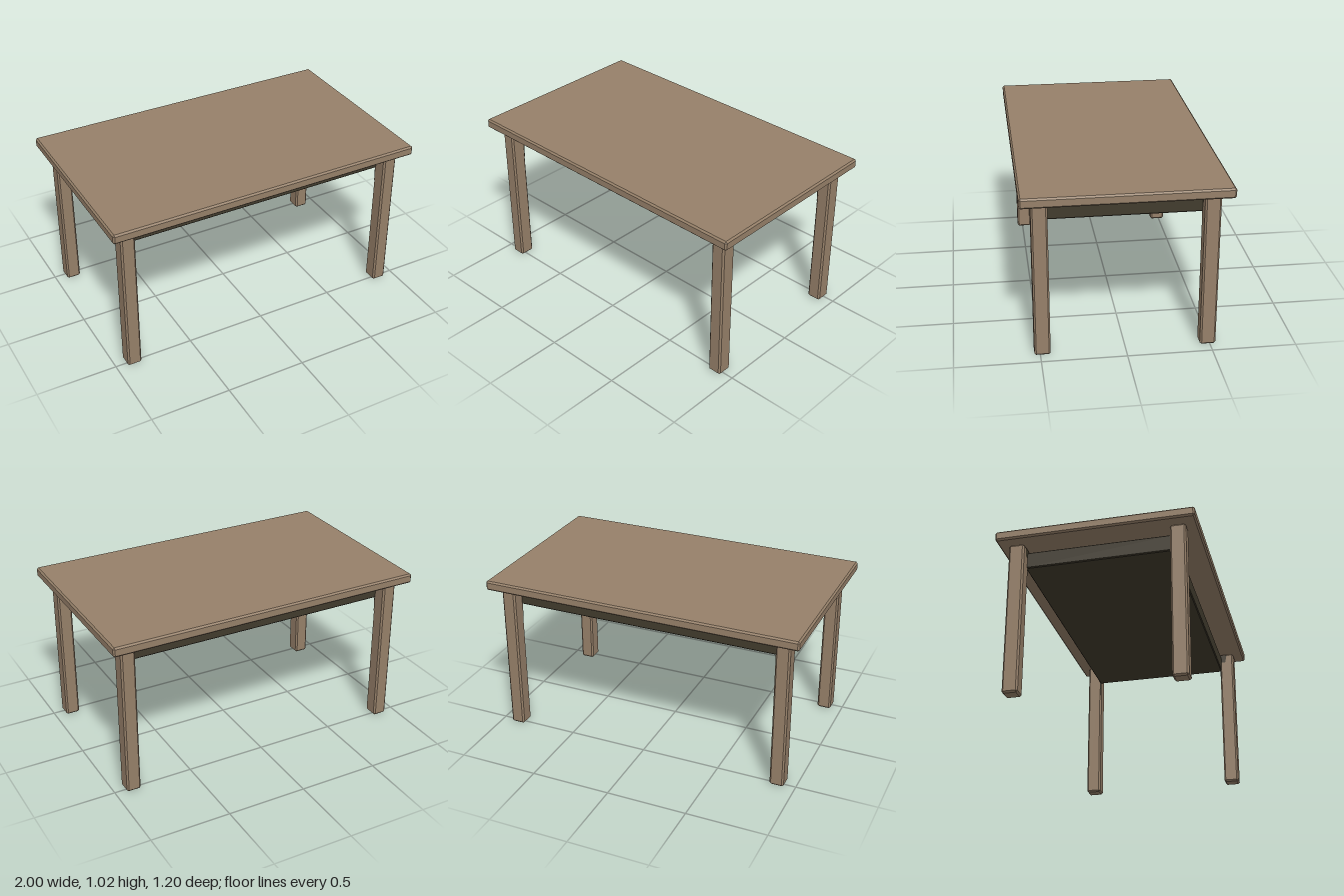
import * as THREE from 'three';
import { ConvexGeometry } from 'three/addons/geometries/ConvexGeometry.js';

// Box with a flat chamfer on every edge, centred on its origin
function chamferBox(w, h, d, c) {
  const points = [];
  for (const sx of [-1, 1]) for (const sy of [-1, 1]) for (const sz of [-1, 1]) {
    const x = sx * w / 2, y = sy * h / 2, z = sz * d / 2;
    points.push(
      new THREE.Vector3(x, y - sy * c, z - sz * c),
      new THREE.Vector3(x - sx * c, y, z - sz * c),
      new THREE.Vector3(x - sx * c, y - sy * c, z));
  }
  return new ConvexGeometry(points);
}

export function createModel() {
  const wood = new THREE.MeshStandardMaterial({ color: 0x968069 });
  wood.name = 'wood';
  const dark = new THREE.MeshStandardMaterial({ color: 0x413b2d });
  dark.name = 'darkFrame';

  const table = new THREE.Group();
  table.name = 'table';
  const add = (name, geometry, material, x, y, z) => {
    const mesh = new THREE.Mesh(geometry, material);
    mesh.name = name;
    mesh.position.set(x, y, z);
    table.add(mesh);
  };

  // Top slab and the dark frame set just beneath it
  add('tableTop', chamferBox(2, 0.06, 1.2, 0.01), wood, 0, 0.99, 0);
  add('underFrame', chamferBox(1.72, 0.105, 0.9, 0.006), dark, 0, 0.8825, 0);

  const legGeometry = chamferBox(0.088, 0.957, 0.094, 0.01);
  for (const sx of [-1, 1]) for (const sz of [-1, 1]) {
    // Leg
    add('leg', legGeometry, wood, sx * 0.887, 0.4785, sz * 0.487);
    // Slim tapered gusset wrapping the inner corner of the leg
    const x = 0.842, z = 0.439;
    const corners = [[x, 0.95, z], [x + 0.055, 0.95, z], [x, 0.95, z + 0.05], [x + 0.004, 0.73, z + 0.004]];
    const gusset = new ConvexGeometry(corners.map(p => new THREE.Vector3(sx * p[0], p[1], sz * p[2])));
    add('cornerGusset', gusset, dark, 0, 0, 0);
  }
  return table;
}
